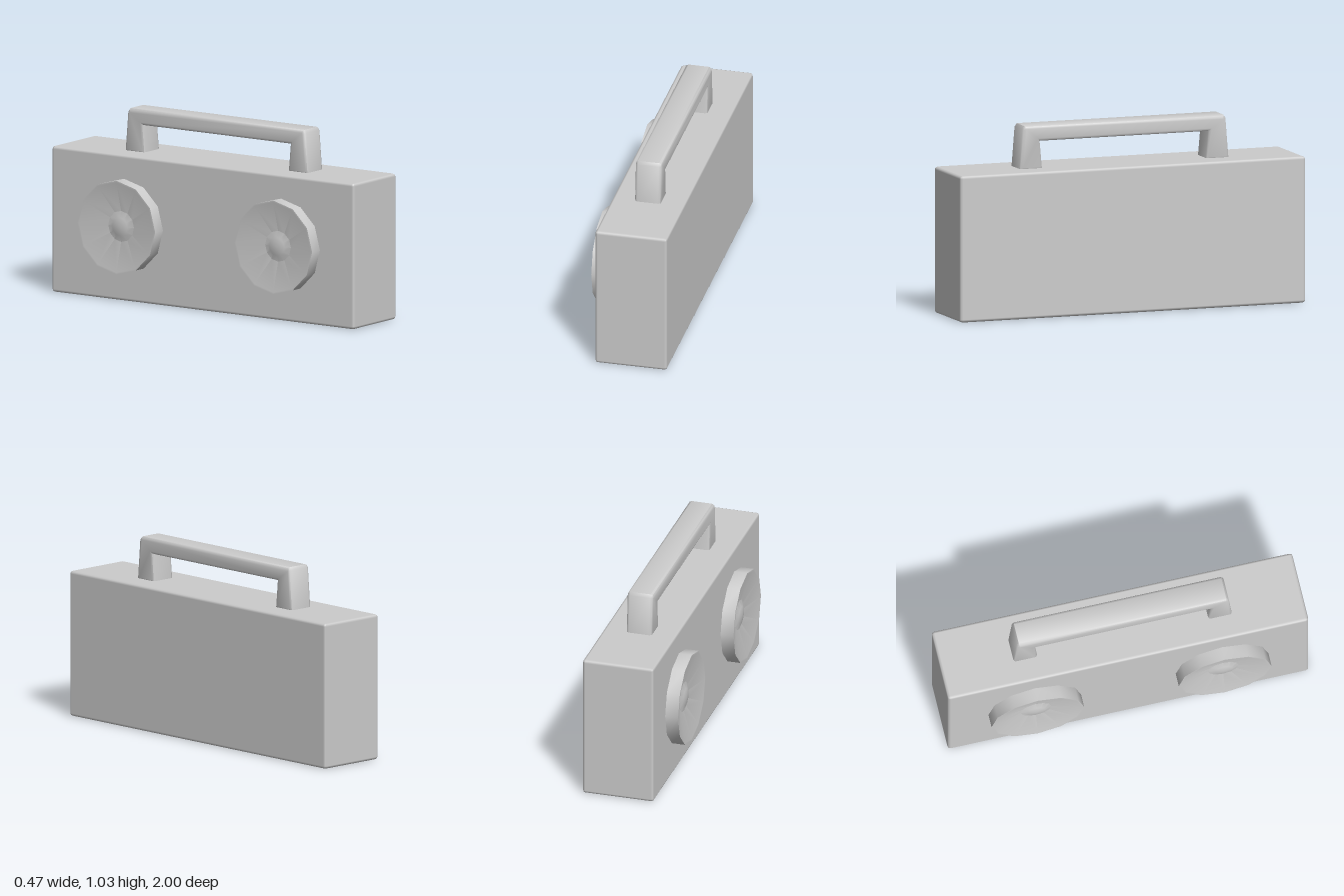
import * as THREE from 'three';
import { toCreasedNormals } from 'three/addons/utils/BufferGeometryUtils.js';
import { RoundedBoxGeometry } from 'three/addons/geometries/RoundedBoxGeometry.js';

const grey = new THREE.MeshStandardMaterial({ color: 0xcccccc });

function addPart(parent, name, geometry, x, y, z) {
  const mesh = new THREE.Mesh(geometry, grey);
  mesh.name = name;
  mesh.position.set(x, y, z);
  parent.add(mesh);
  return mesh;
}

// Carrying handle: a splayed arch outline extruded across its width with bevelled edges
function handleGeometry(width) {
  const half = [[0.606, -0.01], [0.588, 0.215], [0.575, 0.232]];
  const inner = [[0.487, 0.147], [0.473, -0.01]];
  const mirror = (pts) => pts.map(([z, y]) => [-z, y]).reverse();
  const outline = [...half, ...mirror(half), ...mirror(inner), ...inner];
  const bevel = 0.016;
  const geometry = new THREE.ExtrudeGeometry(
    new THREE.Shape(outline.map(([z, y]) => new THREE.Vector2(z, y))),
    {
      depth: width - 2 * bevel, bevelEnabled: true, bevelSegments: 2,
      bevelSize: bevel, bevelThickness: bevel, bevelOffset: -bevel,
    },
  );
  geometry.translate(0, 0, bevel - width / 2);
  geometry.rotateY(-Math.PI / 2);
  return toCreasedNormals(geometry, 0.9);
}

// Speaker: low-poly ring, recessed cone and a small domed cap, facing -x
function speakerGeometry() {
  const profile = [
    [0.257, -0.01], [0.257, 0.073], [0.247, 0.073],
    [0.085, 0.028], [0.05, 0.04], [0, 0.045],
  ].map(([r, h]) => new THREE.Vector2(r, h));
  const geometry = new THREE.LatheGeometry(profile, 12);
  geometry.rotateZ(Math.PI / 2);
  return toCreasedNormals(geometry, 0.6);
}

export function createModel() {
  const model = new THREE.Group();
  model.name = 'portableStereo';

  // Case with narrow softened edges
  addPart(model, 'case', new RoundedBoxGeometry(0.4, 0.8, 2, 1, 0.016), 0.036, 0.4, 0);
  addPart(model, 'handle', handleGeometry(0.146), 0.035, 0.8, 0);

  // Matching pair of speakers
  const speaker = speakerGeometry();
  for (const side of [-1, 1]) {
    addPart(model, side < 0 ? 'rearSpeaker' : 'frontSpeaker', speaker, -0.164, 0.413, side * 0.519);
  }
  return model;
}
